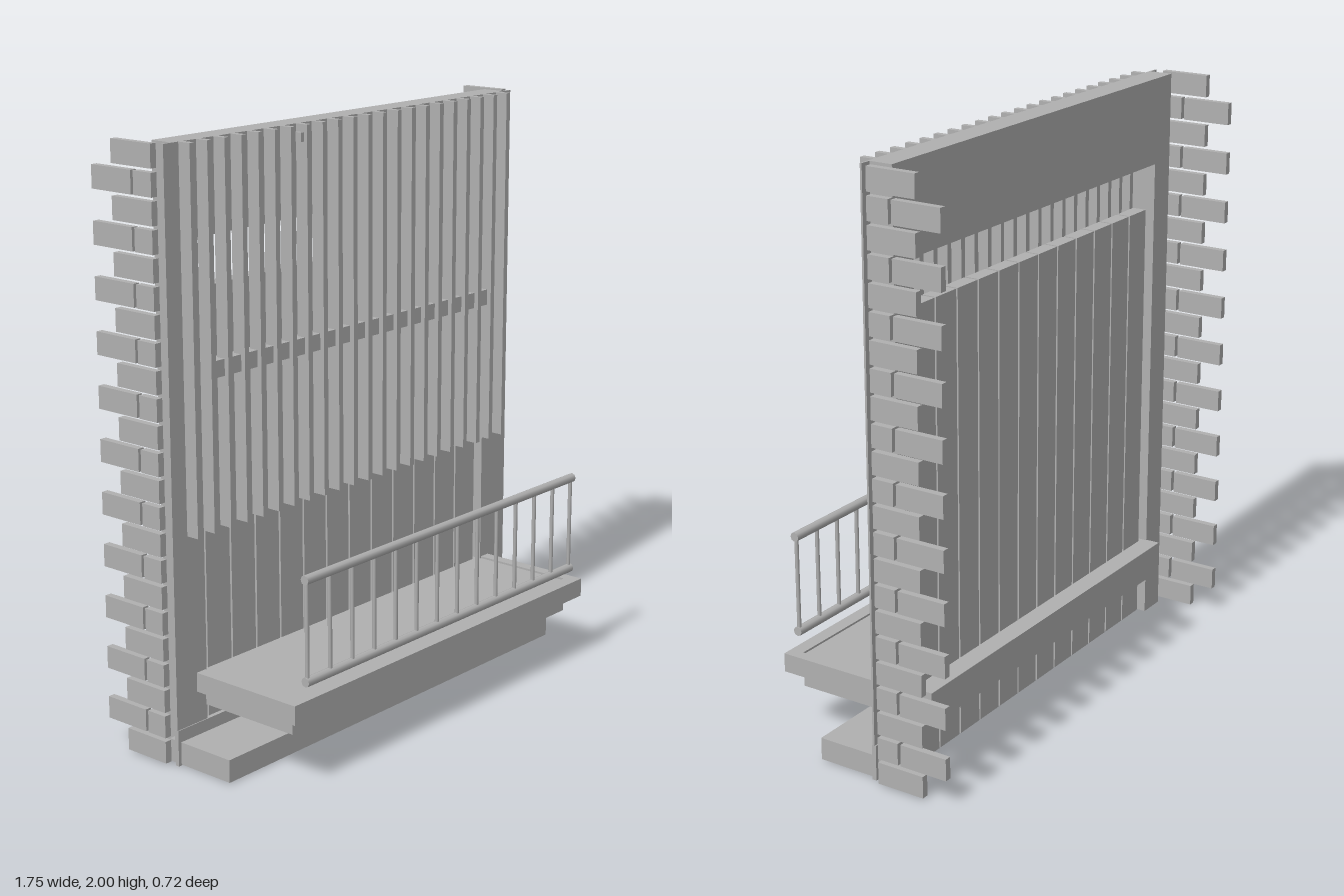
import * as THREE from 'three';

export function createModel() {
  const model = new THREE.Group();
  const grey = new THREE.MeshStandardMaterial({ color: 0xb0b0b0 });
  grey.name = 'grey';

  // Box given by its minimum and maximum on each axis
  function box(name, x0, x1, y0, y1, z0, z1, parent = model) {
    const mesh = new THREE.Mesh(new THREE.BoxGeometry(x1 - x0, y1 - y0, z1 - z0), grey);
    mesh.position.set((x0 + x1) / 2, (y0 + y1) / 2, (z0 + z1) / 2);
    mesh.name = name;
    parent.add(mesh);
    return mesh;
  }

  function group(name) {
    const g = new THREE.Group();
    g.name = name;
    model.add(g);
    return g;
  }

  // Wall shaped like a doorway: two legs and a lintel, open at the bottom
  function portal(name, halfWidth, bottom, z0, z1) {
    const o = 0.72, top = 1.7;
    const shape = new THREE.Shape([
      [-halfWidth, bottom], [-o, bottom], [-o, top], [o, top], [o, bottom],
      [halfWidth, bottom], [halfWidth, 2], [-halfWidth, 2],
    ].map(([x, y]) => new THREE.Vector2(x, y)));
    const geo = new THREE.ExtrudeGeometry(shape, { depth: z1 - z0, bevelEnabled: false });
    const mesh = new THREE.Mesh(geo, grey);
    mesh.position.z = z0;
    mesh.name = name;
    model.add(mesh);
  }
  portal('wall', 0.82, 0, -0.15, -0.07);
  portal('facadePlate', 0.857, 0, -0.07, -0.063);

  // Vertical boards filling the lower part of the opening
  const boards = group('boards');
  const boardCount = 12, boardPitch = 1.4 / boardCount;
  box('boardBacking', -0.7, 0.7, 0.01, 1.535, -0.115, -0.095, boards);
  for (let i = 0; i < boardCount; i++) {
    const x = -0.7 + i * boardPitch;
    box('board', x + 0.004, x + boardPitch - 0.004, 0.01, 1.54, -0.13, -0.08, boards);
  }

  // Slender slats hanging in front of the upper facade
  const slats = group('slats');
  for (let i = 0; i < 22; i++) {
    const x = (i - 10.5) * 0.0746;
    box('slat', x - 0.01, x + 0.01, 0.76, 2, -0.064, -0.016, slats);
  }
  box('crossRail', -0.7, 0.7, 1.255, 1.31, -0.085, -0.032);
  box('smallPlate', -0.285, -0.245, 1.945, 1.975, -0.064, -0.03);

  // Toothed brick edges on both sides
  const bricks = group('bricks');
  const pitch = 2 / 22.93;
  for (const s of [-1, 1]) {
    const xa = s > 0 ? 0.853 : -0.877;
    const xb = xa + 0.024;
    for (let i = 0; i < 23; i++) {
      const y0 = i * pitch + 0.006, y1 = y0 + 0.075;
      if (i % 2 === 0) {
        box('brick', xa, xb, y0, y1, -0.27, -0.098, bricks);
      } else {
        box('halfBrick', xa, xb, y0, y1, -0.175, -0.098, bricks);
        box('brick', xa, xb, y0, y1, -0.358, -0.186, bricks);
      }
    }
  }

  // Ground step with a low plinth behind it
  box('step', -0.845, 0.845, 0.003, 0.08, -0.11, 0.153);
  box('plinth', -0.857, 0.857, 0, 0.122, -0.075, -0.06);

  // Balcony deck running through the wall, with a raised rim
  box('deck', -0.725, 0.725, 0.172, 0.286, -0.2, 0.312);
  const rim = group('deckRim');
  box('rimFront', -0.765, 0.765, 0.228, 0.293, 0.312, 0.36, rim);
  box('rimLeft', 0.725, 0.765, 0.228, 0.293, -0.063, 0.312, rim);
  box('rimRight', -0.765, -0.725, 0.228, 0.293, -0.063, 0.312, rim);

  // Railing: two horizontal rails joined by thin bars
  const railing = group('railing');
  for (const y of [0.35, 0.685]) {
    const rail = new THREE.Mesh(new THREE.CylinderGeometry(0.016, 0.016, 1.41, 8), grey);
    rail.rotation.z = Math.PI / 2;
    rail.position.set(0, y, 0.35);
    rail.name = 'rail';
    railing.add(rail);
  }
  for (let i = 0; i < 14; i++) {
    const bar = new THREE.Mesh(new THREE.CylinderGeometry(0.007, 0.007, 0.335, 8), grey);
    bar.position.set(-0.695 + i * 1.39 / 13, 0.5175, 0.35);
    bar.name = 'railBar';
    railing.add(bar);
  }
  return model;
}
